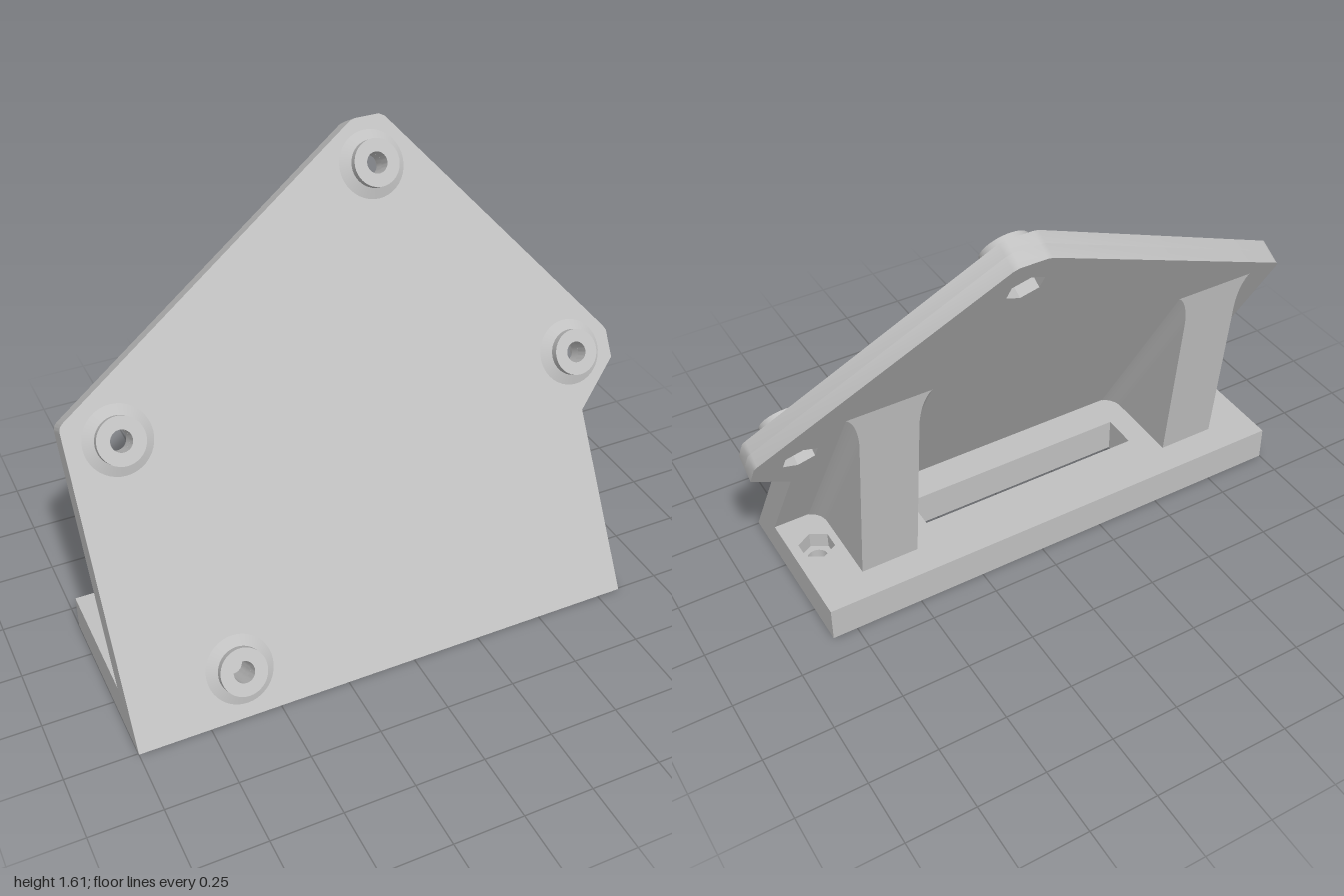
import * as THREE from 'three';
import { toCreasedNormals } from 'three/addons/utils/BufferGeometryUtils.js';

const TILT = Math.PI / 6, COS = Math.cos(TILT), TAN = Math.tan(TILT);
const FRONT_Z = 0.505, THICK = 0.095, BASE_H = 0.13;
const BACK_Z = FRONT_Z - THICK / COS; // back of the plate at floor level
const BORE = 0.037, HEX = 0.065, MID_X = -0.08;

function circleHole(x, y, r) {
  const p = new THREE.Path();
  p.absarc(x, y, r, 0, Math.PI * 2, true);
  return p;
}

function hexHole(x, y, r) {
  const pts = [];
  for (let i = 0; i < 6; i++) {
    const a = Math.PI / 2 - i * Math.PI / 3;
    pts.push(new THREE.Vector2(x + r * Math.cos(a), y + r * Math.sin(a)));
  }
  return new THREE.Path(pts);
}

function extrude(shape, depth) {
  return new THREE.ExtrudeGeometry(shape, { depth, bevelEnabled: false, curveSegments: 16 });
}

// Apply a rule to every vertex
function moveVertices(geo, rule) {
  const p = geo.attributes.position, v = new THREE.Vector3();
  for (let i = 0; i < p.count; i++) {
    rule(v.fromBufferAttribute(p, i));
    p.setXYZ(i, v.x, v.y, v.z);
  }
  geo.computeVertexNormals();
  return toCreasedNormals(geo, 0.6);
}

export function createModel() {
  const model = new THREE.Group();
  model.name = 'tiltedMountingBracket';
  const grey = new THREE.MeshStandardMaterial({ color: 0xc0c0c0 });
  grey.name = 'lightGrey';

  const add = (parent, name, geo) => {
    const m = new THREE.Mesh(geo, grey);
    m.name = name;
    parent.add(m);
    return m;
  };

  // Tilted plate: its own frame has y up the slope and z out of the front
  const plate = new THREE.Group();
  plate.name = 'tiltedPlate';
  plate.position.z = FRONT_Z;
  plate.rotation.x = -TILT;
  model.add(plate);

  const bolts = [[0.235, 1.692], [-0.825, 1.007], [0.835, 0.895], [-0.61, 0.165]];

  function plateShape(nutPockets) {
    const s = new THREE.Shape();
    s.moveTo(-1, 0);
    for (const [x, y] of [[0.84, 0], [0.84, 0.588], [1, 0.725], [1, 0.812], [0.99, 0.828],
      [0.32, 1.595], [0.3, 1.605], [0.21, 1.605], [0.19, 1.6], [-0.975, 0.96]]) s.lineTo(x, y / COS);
    s.quadraticCurveTo(-1, 0.948 / COS, -1, 0.93 / COS);
    s.closePath();
    bolts.forEach(([x, y], i) =>
      s.holes.push(nutPockets && i < 3 ? hexHole(x, y, HEX) : circleHole(x, y, BORE)));
    return s;
  }

  // Front layer has round bores, rear layer has nut pockets; bottom edge is level with the floor
  for (const [name, z0, z1, pockets] of [['plateFront', -0.045, 0, false], ['plateRear', -THICK, -0.045, true]]) {
    const geo = extrude(plateShape(pockets), z1 - z0).translate(0, 0, z0);
    add(plate, name, moveVertices(geo, v => { if (v.y < 0.001) v.y -= v.z * TAN; }));
  }

  // Raised bosses with a flared foot
  const bossProfile = [[0.118, 0], [0.082, 0.021], [0.082, 0.05], [BORE, 0.05], [BORE, 0]]
    .map(([r, h]) => new THREE.Vector2(r, h));
  const bossGeo = toCreasedNormals(new THREE.LatheGeometry(bossProfile, 40), 0.4);
  for (const [x, y] of bolts) {
    const boss = add(plate, 'boltBoss', bossGeo);
    boss.rotation.x = Math.PI / 2;
    boss.position.set(x, y, 0);
  }

  // Base slab with a slot and two bolt holes, front end following the slope
  function baseShape(nutPockets) {
    const s = new THREE.Shape();
    s.moveTo(-1, -BACK_Z);
    s.lineTo(0.84, -BACK_Z);
    s.lineTo(0.84, 0.155);
    s.lineTo(-1, 0.155);
    s.closePath();
    s.holes.push(new THREE.Path([[-0.52, -0.19], [-0.52, -0.06], [0.36, -0.06], [0.36, -0.19]]
      .map(([x, y]) => new THREE.Vector2(x, y))));
    for (const side of [-1, 1]) {
      const x = MID_X + side * 0.828;
      s.holes.push(nutPockets ? hexHole(x, -0.16, HEX) : circleHole(x, -0.16, BORE));
    }
    return s;
  }
  for (const [name, y0, y1, pockets] of [['baseLower', 0, 0.07, false], ['baseUpper', 0.07, BASE_H, true]]) {
    const geo = extrude(baseShape(pockets), y1 - y0).rotateX(-Math.PI / 2).translate(0, y0, 0);
    add(model, name, moveVertices(geo, v => { if (v.z > BACK_Z - 0.001) v.z -= v.y * TAN; }));
  }

  // Wedge ribs, filleted where they meet the plate
  function ribGeometry() {
    const foot = new THREE.Vector2(BACK_Z - BASE_H * TAN, BASE_H); // (z, y)
    const rear = new THREE.Vector2(-0.04, BASE_H);
    const apex = new THREE.Vector2(BACK_Z - 0.905 * TAN, 0.905);
    const depth = (foot.x - rear.x) * COS, r = 0.06, n = 10;
    const dists = [];
    for (let i = 0; i <= n; i++) dists.push(0.002 + (r - 0.002) * (i / n) ** 1.6);
    dists.push(depth);
    const pos = [], idx = [];
    const rows = dists.map(d => {
      const w = 0.108 + (d < r ? r - Math.sqrt(r * r - (r - d) ** 2) : 0);
      return {
        w,
        low: foot.clone().lerp(rear, d / depth),
        high: apex.clone().lerp(rear, d / depth),
      };
    });
    // Strip between two edges; each edge gives [x, point] for a row
    const strip = (a, b) => {
      const start = pos.length / 3;
      rows.forEach((row, i) => {
        for (const [x, p] of [a(row), b(row)]) pos.push(x, p.y, p.x);
        if (i) {
          const k = start + 2 * i;
          idx.push(k - 2, k - 1, k, k - 1, k + 1, k);
        }
      });
    };
    strip(q => [q.w, q.high], q => [q.w, q.low]);   // +x flank
    strip(q => [-q.w, q.low], q => [-q.w, q.high]); // -x flank
    strip(q => [-q.w, q.high], q => [q.w, q.high]); // rear face
    const g = new THREE.BufferGeometry();
    g.setAttribute('position', new THREE.Float32BufferAttribute(pos, 3));
    g.setIndex(idx);
    g.computeVertexNormals();
    // Turn the faces outward if the +x flank points inward
    if (g.attributes.normal.getX(2 * n + 2) < 0) {
      g.setIndex(idx.reverse());
      g.computeVertexNormals();
    }
    return g;
  }
  const ribGeo = ribGeometry();
  for (const side of [-1, 1]) add(model, 'supportRib', ribGeo).position.x = MID_X + side * 0.637;

  return model;
}
